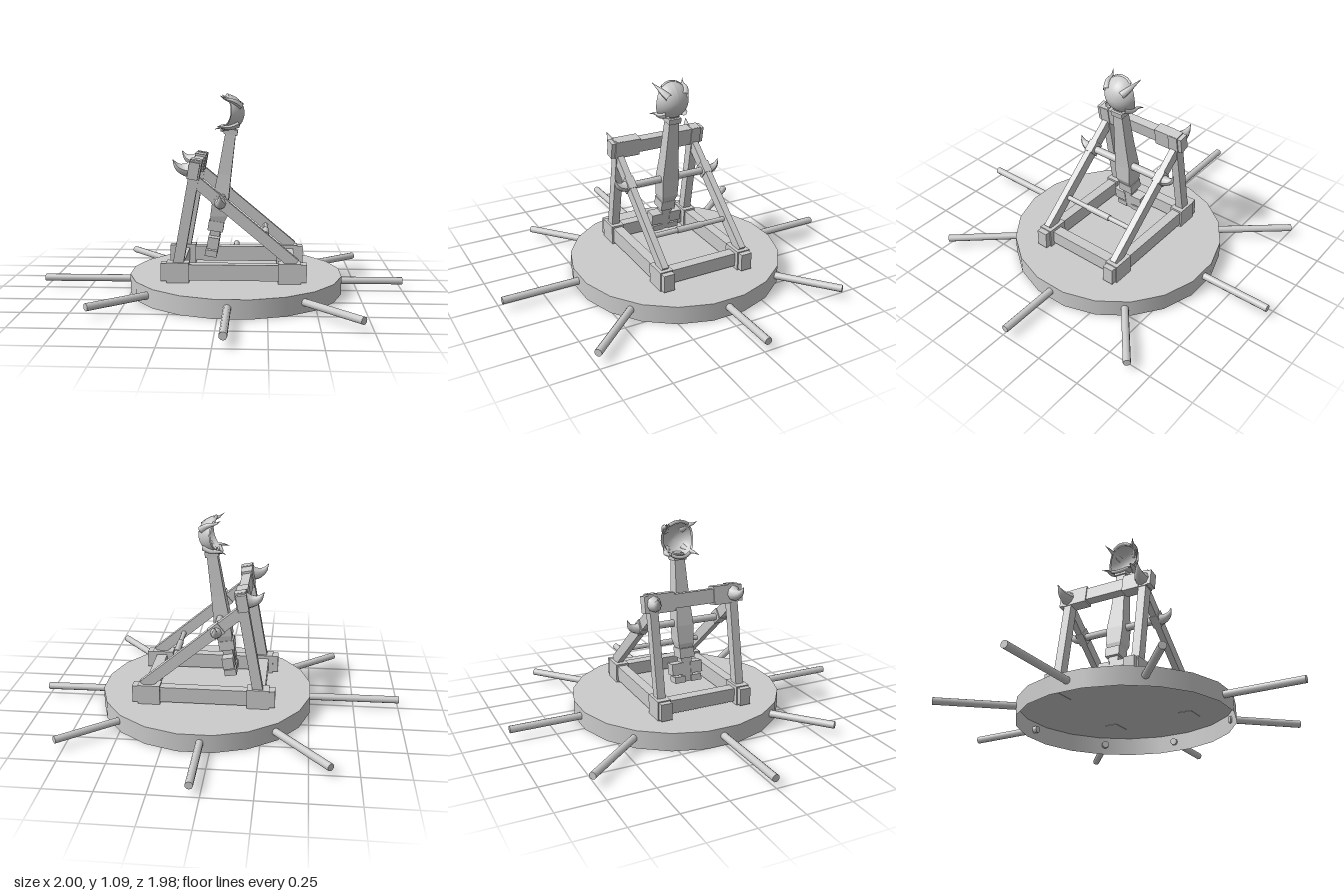
import * as THREE from 'three';

const mat = new THREE.MeshStandardMaterial({ color: 0xcccccc });
const flat = new THREE.MeshStandardMaterial({ color: 0xcccccc, flatShading: true });
const thin = new THREE.MeshStandardMaterial({ color: 0xcccccc, side: THREE.DoubleSide });
const V = (x, y, z) => new THREE.Vector3(x, y, z);

function add(parent, name, geometry, material = mat) {
  const mesh = new THREE.Mesh(geometry, material);
  mesh.name = name;
  parent.add(mesh);
  return mesh;
}

function box(parent, name, w, h, d, x, y, z, tilt = 0) {
  const mesh = add(parent, name, new THREE.BoxGeometry(w, h, d));
  mesh.position.set(x, y, z);
  mesh.rotation.z = tilt;
  return mesh;
}

// Round bar between two points
function rod(parent, name, a, b, r, sides = 10) {
  const mesh = add(parent, name, new THREE.CylinderGeometry(r, r, a.distanceTo(b), sides));
  mesh.position.copy(a).lerp(b, 0.5);
  mesh.quaternion.setFromUnitVectors(V(0, 1, 0), b.clone().sub(a).normalize());
  return mesh;
}

// Curved spike: a tube whose rings shrink towards the tip
function horn(parent, name, points, radius) {
  const curve = new THREE.CatmullRomCurve3(points);
  const n = 8, sides = 8;
  const g = new THREE.TubeGeometry(curve, n, radius, sides);
  const p = g.attributes.position, v = V(0, 0, 0);
  for (let i = 0; i <= n; i++) {
    const c = curve.getPointAt(i / n);
    const k = Math.max(0.02, 1 - Math.pow(i / n, 1.3));
    for (let j = 0; j <= sides; j++) {
      const id = i * (sides + 1) + j;
      v.fromBufferAttribute(p, id).sub(c).multiplyScalar(k).add(c);
      p.setXYZ(id, v.x, v.y, v.z);
    }
  }
  g.computeVertexNormals();
  return add(parent, name, g, thin);
}

// Square beam through stations [y, centre x, width x, width z]
function loftBeam(parent, name, stations) {
  const n = stations.length - 1;
  const g = new THREE.BoxGeometry(1, 1, 1, 1, n, 1);
  const p = g.attributes.position;
  for (let i = 0; i < p.count; i++) {
    const [y, cx, wx, wz] = stations[Math.round((p.getY(i) + 0.5) * n)];
    p.setXYZ(i, cx + p.getX(i) * wx, y, p.getZ(i) * wz);
  }
  return add(parent, name, g, flat);
}

// Turntable, open underneath, with eight push bars
function turntable() {
  const g = new THREE.Group();
  g.name = 'turntable';
  const start = Math.PI / 20;
  const wall = add(g, 'turntableWall', new THREE.CylinderGeometry(0.587, 0.587, 0.1, 20, 1, true, start), thin);
  wall.position.set(0.075, 0.05, -0.015);
  const top = add(g, 'turntableTop', new THREE.CircleGeometry(0.587, 20, start), thin);
  top.rotation.x = -Math.PI / 2;
  top.position.set(0.075, 0.1, -0.015);
  const bars = [
    [0.05, -0.57, 0.05, -0.99], [0.05, 0.55, 0.05, 0.99],
    [-0.49, -0.01, -1, -0.005], [0.64, -0.015, 1, -0.02],
    [-0.31, -0.42, -0.605, -0.765], [0.49, -0.39, 0.79, -0.64],
    [-0.36, 0.335, -0.65, 0.58], [0.43, 0.43, 0.7, 0.735],
  ];
  for (const [x0, z0, x1, z1] of bars) rod(g, 'pushBar', V(x0, 0.055, z0), V(x1, 0.055, z1), 0.02);
  return g;
}

const SIDE = 0.235;      // distance of each side frame from the middle
const LEAN = -0.18;      // tilt of the posts

function sideFrame(s) {
  const g = new THREE.Group();
  g.name = 'sideFrame';
  const z = s * SIDE;
  // Ground rail with corner sleeves
  box(g, 'groundRail', 0.76, 0.085, 0.055, 0.07, 0.155, z);
  for (const x of [-0.225, 0.365]) box(g, 'cornerSleeve', 0.12, 0.11, 0.075, x, 0.153, z);
  for (const x of [-0.3, 0.44]) box(g, 'railEnd', 0.032, 0.095, 0.062, x, 0.155, z);
  // Leaning post with its head band
  box(g, 'post', 0.055, 0.58, 0.046, -0.175, 0.465, z, LEAN);
  box(g, 'postHead', 0.062, 0.1, 0.058, -0.133, 0.7, z, LEAN);
  // Diagonal brace and axle bearing
  const a = V(-0.125, 0.635, z), b = V(0.395, 0.2, z);
  const tilt = Math.atan2(b.y - a.y, b.x - a.x);
  box(g, 'brace', a.distanceTo(b), 0.06, 0.036, (a.x + b.x) / 2, (a.y + b.y) / 2, z, tilt);
  box(g, 'axleBearing', 0.07, 0.066, 0.048, 0, 0.53, z, tilt);
  // Horns on the post head and the axle end
  horn(g, 'postHorn', [V(-0.13, 0.705, z), V(-0.18, 0.7, z), V(-0.22, 0.715, z + s * 0.008), V(-0.248, 0.755, z + s * 0.015)], 0.048);
  horn(g, 'axleHorn', [V(0, 0.525, z + s * 0.01), V(0, 0.527, z + s * 0.045), V(0, 0.545, z + s * 0.073), V(0, 0.58, z + s * 0.085)], 0.033);
  return g;
}

function crossPieces() {
  const g = new THREE.Group();
  g.name = 'crossPieces';
  for (const x of [-0.23, 0.37]) box(g, 'groundCrossBeam', 0.06, 0.075, 0.42, x, 0.152, 0);
  // Stop beam with thicker ends
  box(g, 'stopBeam', 0.05, 0.075, 0.57, -0.138, 0.698, 0, LEAN);
  for (const s of [-1, 1]) {
    box(g, 'stopBeamSleeve', 0.062, 0.1, 0.1, -0.138, 0.698, s * 0.165, LEAN);
    box(g, 'stopBeamEnd', 0.056, 0.09, 0.022, -0.138, 0.698, s * 0.275, LEAN);
  }
  rod(g, 'axle', V(0, 0.525, -0.26), V(0, 0.525, 0.26), 0.021, 8);
  rod(g, 'braceRod', V(0.24, 0.325, -0.23), V(0.24, 0.325, 0.23), 0.014);
  rod(g, 'braceRodGrip', V(0.24, 0.325, -0.075), V(0.24, 0.325, 0.075), 0.018);
  return g;
}

// Bowl opening towards -x; the rim dips at the two sides
function bowlShell(radius) {
  const g = new THREE.SphereGeometry(1, 24, 10, 0, Math.PI * 2, 0, Math.PI / 2);
  const p = g.attributes.position, uv = g.attributes.uv;
  for (let i = 0; i < p.count; i++) {
    const phi = uv.getX(i) * Math.PI * 2;
    const t = (1 - uv.getY(i)) * (1.44 + 0.2 * Math.cos(2 * phi));
    p.setXYZ(i, radius * Math.cos(t), radius * Math.sin(t) * Math.cos(phi), radius * Math.sin(t) * Math.sin(phi));
  }
  g.computeVertexNormals();
  return g;
}

function throwingArm() {
  const g = new THREE.Group();
  g.name = 'throwingArm';
  loftBeam(g, 'armBeam', [
    [0.37, -0.03, 0.065, 0.07], [0.42, -0.018, 0.095, 0.09], [0.52, -0.008, 0.088, 0.1],
    [0.65, 0.012, 0.074, 0.08], [0.87, 0.044, 0.058, 0.058], [0.91, 0.048, 0.05, 0.05],
  ]);
  box(g, 'armCollar', 0.075, 0.03, 0.072, 0.046, 0.883, 0, -0.155);
  // Counterweight hanging from the arm foot
  const tilt = -0.155;
  box(g, 'footBlock', 0.085, 0.055, 0.085, -0.035, 0.362, 0, tilt);
  box(g, 'footStem', 0.055, 0.15, 0.06, -0.048, 0.275, 0, tilt);
  for (const s of [-1, 1]) {
    box(g, 'weightBlock', 0.062, 0.065, 0.07, -0.048, 0.275, s * 0.055, tilt);
    box(g, 'weightFoot', 0.066, 0.035, 0.062, -0.06, 0.217, s * 0.048, tilt);
  }
  // Spiked bowl
  const cup = new THREE.Group();
  cup.name = 'bowl';
  cup.position.set(0.018, 0.985, 0);
  cup.rotation.z = tilt;
  g.add(cup);
  add(cup, 'bowlOuter', bowlShell(0.102), thin);
  add(cup, 'bowlInner', bowlShell(0.09), thin);
  for (let i = 0; i < 4; i++) {
    const a = Math.PI / 4 + i * Math.PI / 2;
    const at = (x, r) => V(x, r * Math.cos(a), r * Math.sin(a));
    horn(cup, 'bowlClaw', [at(0.075, 0.068), at(0.035, 0.099), at(-0.01, 0.108), at(-0.042, 0.13)], 0.02);
  }
  // Rim lips at the top and bottom of the opening
  for (const s of [-1, 1]) {
    const arc = [-0.6, -0.3, 0, 0.3, 0.6].map((t) => V(-0.006 + 0.03 * t * t, s * 0.096 * Math.cos(t), 0.096 * Math.sin(t)));
    add(cup, 'rimLip', new THREE.TubeGeometry(new THREE.CatmullRomCurve3(arc), 10, 0.01, 6), thin);
  }
  return g;
}

export function createModel() {
  const model = new THREE.Group();
  model.name = 'catapult';
  const frame = new THREE.Group();
  frame.name = 'frame';
  frame.position.z = -0.012;
  frame.add(sideFrame(1), sideFrame(-1), crossPieces(), throwingArm());
  model.add(turntable(), frame);
  return model;
}
